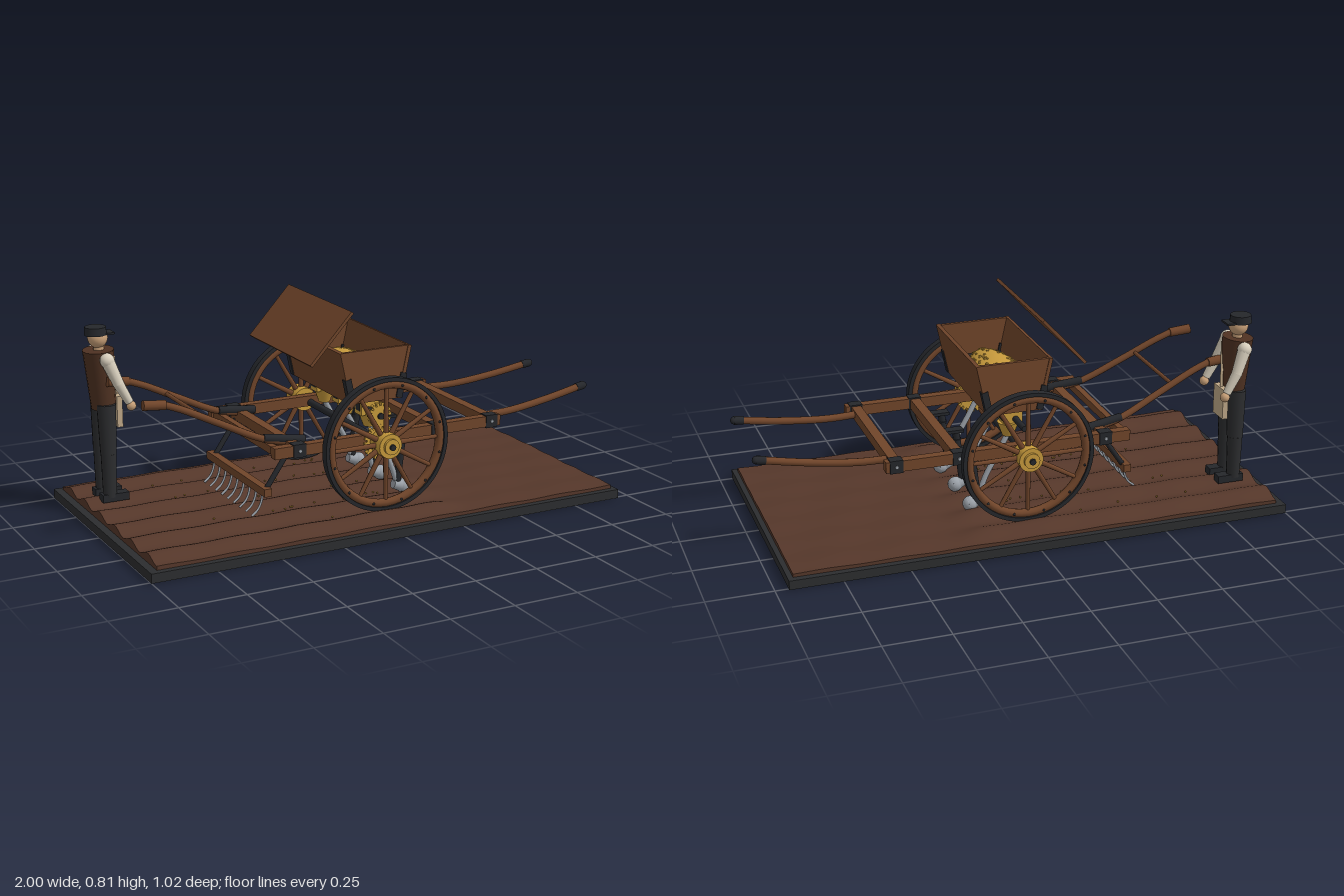
import * as THREE from 'three';

const mat = (name, color) => {
  const m = new THREE.MeshStandardMaterial({ color });
  m.name = name;
  return m;
};
const V = (x, y, z) => new THREE.Vector3(x, y, z);

export function createModel() {
  const wood = mat('wood', 0x70452a), soilMat = mat('soil', 0x55372a), base = mat('charcoal', 0x2c2d2f);
  const iron = mat('iron', 0x25272b), brass = mat('brass', 0xc79a3c), steel = mat('steel', 0x9ba1a8);
  const cream = mat('shirt cream', 0xd9d0be), skin = mat('skin', 0xc8a078), vest = mat('vest brown', 0x4f3222);
  const canvas = mat('canvas', 0xbfa888);
  const root = new THREE.Group();
  root.name = 'seedDrill';

  const group = (name, parent = root) => {
    const g = new THREE.Group();
    g.name = name;
    parent.add(g);
    return g;
  };
  const add = (name, geo, m, pos = [0, 0, 0], parent = root) => {
    const mesh = new THREE.Mesh(geo, m);
    mesh.name = name;
    mesh.position.set(...pos);
    parent.add(mesh);
    return mesh;
  };
  const box = (name, size, pos, m, parent) => add(name, new THREE.BoxGeometry(...size), m, pos, parent);
  // Round bar between two points
  const rod = (name, a, b, r0, r1, m, parent, sides = 12) => {
    const p = V(...a), q = V(...b), d = q.clone().sub(p);
    const mesh = add(name, new THREE.CylinderGeometry(r1, r0, d.length(), sides), m, p.clone().add(q).multiplyScalar(0.5).toArray(), parent);
    mesh.quaternion.setFromUnitVectors(V(0, 1, 0), d.normalize());
    return mesh;
  };
  const tube = (name, pts, r, m, parent, seg = 16) =>
    add(name, new THREE.TubeGeometry(new THREE.CatmullRomCurve3(pts.map(p => V(...p))), seg, r, 10), m, [0, 0, 0], parent);
  const discZ = (name, r, h, pos, m, parent, sides = 24) => {
    const d = add(name, new THREE.CylinderGeometry(r, r, h, sides), m, pos, parent);
    d.rotation.x = Math.PI / 2;
    return d;
  };
  let seed = 7;
  const rand = () => (seed = (seed * 16807) % 2147483647) / 2147483647;

  // Base slab and ploughed soil with ridges that fade out ahead of the drill
  box('base', [1.95, 0.035, 1.02], [-0.025, 0.0175, 0], base);
  const soilGeo = new THREE.BoxGeometry(1.9, 0.02, 0.97, 70, 1, 72);
  const sp = soilGeo.attributes.position;
  for (let i = 0; i < sp.count; i++) {
    if (sp.getY(i) < 0) continue;
    const x = sp.getX(i) - 0.02, z = sp.getZ(i);
    const ridge = 0.5 - 0.5 * Math.cos(z * 2 * Math.PI / 0.16);
    const fade = 1 - 0.85 * THREE.MathUtils.smoothstep(x, 0.15, 0.32);
    sp.setY(i, 0.014 + 0.022 * ridge * fade + 0.0015 * Math.sin(x * 23 + z * 9));
  }
  soilGeo.computeVertexNormals();
  add('soil', soilGeo, soilMat, [-0.02, 0.035, 0]);

  // Spoked wheels
  for (const s of [1, -1]) {
    const w = group('wheel');
    w.position.set(0, 0.315, s * 0.355);
    const ring = (name, ro, ri, depth, m) => {
      const sh = new THREE.Shape().absarc(0, 0, ro, 0, Math.PI * 2);
      sh.holes.push(new THREE.Path().absarc(0, 0, ri, 0, Math.PI * 2, true));
      add(name, new THREE.ExtrudeGeometry(sh, { depth, bevelEnabled: false, curveSegments: 48 }), m, [0, 0, -depth / 2], w);
    };
    ring('tyre', 0.256, 0.241, 0.032, iron);
    add('felloe', new THREE.TorusGeometry(0.228, 0.016, 10, 48), wood, [0, 0, 0], w);
    for (let i = 0; i < 12; i++) {
      const a = (i / 12) * Math.PI * 2, c = Math.cos(a), n = Math.sin(a);
      rod('spoke', [c * 0.035, n * 0.035, 0], [c * 0.222, n * 0.222, 0], 0.011, 0.008, wood, w, 8);
      const b = a + Math.PI / 12;
      add('rivet', new THREE.SphereGeometry(0.005, 8, 6), iron, [Math.cos(b) * 0.228, Math.sin(b) * 0.228, s * 0.016], w);
    }
    discZ('hub', 0.047, 0.075, [0, 0, 0], brass, w);
    discZ('hubCap', 0.03, 0.014, [0, 0, s * 0.042], brass, w);
    discZ('axleNut', 0.012, 0.012, [0, 0, s * 0.052], iron, w, 8);
  }
  discZ('axle', 0.014, 0.74, [0, 0.315, 0], iron);

  // Drive gears and metering shaft
  discZ('meteringShaft', 0.012, 0.64, [0, 0.411, 0], iron);
  const gear = (y, r, n, z) => {
    const g = group('gear');
    g.position.set(0, y, z);
    discZ('gearDisc', r, 0.018, [0, 0, 0], brass, g);
    for (let i = 0; i < n; i++) {
      const a = (i / n) * Math.PI * 2;
      box('tooth', [0.014, 0.01, 0.018], [Math.cos(a) * (r + 0.004), Math.sin(a) * (r + 0.004), 0], brass, g).rotation.z = a;
    }
  };
  gear(0.311, 0.056, 20, 0.302);
  gear(0.415, 0.036, 14, 0.302);

  // Frame: side beams, cross beams and iron corner plates
  const frame = group('frame');
  for (const s of [1, -1]) {
    box('sideBeam', [0.96, 0.042, 0.036], [0.05, 0.322, s * 0.286], wood, frame);
    for (const x of [-0.33, 0.25, 0.49]) {
      box('cornerPlate', [0.05, 0.05, 0.042], [x, 0.322, s * 0.286], iron, frame);
      discZ('bolt', 0.007, 0.052, [x, 0.322, s * 0.286], steel, frame, 8);
    }
  }
  for (const x of [-0.33, 0.25, 0.49]) box('crossBeam', [0.038, 0.04, 0.56], [x, 0.322, 0], wood, frame);
  box('rearCrossBeam', [0.025, 0.03, 0.56], [-0.41, 0.322, 0], wood, frame);

  // Front shafts and rear handles
  for (const s of [1, -1]) {
    tube('shaft', [[0.48, 0.325, s * 0.229], [0.62, 0.325, s * 0.22], [0.8, 0.345, s * 0.208], [0.97, 0.374, s * 0.198]], 0.0145, wood);
    rod('shaftTip', [0.95, 0.371, s * 0.199], [0.985, 0.376, s * 0.197], 0.0165, 0.0165, iron);
    add('shaftTipEnd', new THREE.SphereGeometry(0.015, 10, 8), iron, [0.985, 0.376, s * 0.197]);
    tube('handle', [[-0.3, 0.33, s * 0.218], [-0.42, 0.352, s * 0.208], [-0.6, 0.435, s * 0.192], [-0.74, 0.503, s * 0.183], [-0.81, 0.53, s * 0.18]], 0.0135, wood);
    rod('grip', [-0.8, 0.527, s * 0.181], [-0.885, 0.535, s * 0.177], 0.018, 0.019, wood);
    rod('handleStrap', [-0.27, 0.335, s * 0.222], [-0.43, 0.358, s * 0.206], 0.017, 0.016, iron);
  }
  rod('handleRung', [-0.65, 0.458, -0.19], [-0.65, 0.458, 0.19], 0.008, 0.008, wood);

  // Rake hung behind the frame
  const rake = group('rake');
  box('rakeBar', [0.03, 0.03, 0.53], [-0.44, 0.165, 0], wood, rake);
  for (const s of [1, -1]) rod('rakeArm', [-0.43, 0.175, s * 0.232], [-0.33, 0.32, s * 0.232], 0.01, 0.01, iron, rake);
  for (let i = -4; i <= 4; i++) {
    const z = i * 0.055;
    tube('tine', [[-0.442, 0.155, z], [-0.448, 0.12, z], [-0.463, 0.09, z], [-0.487, 0.07, z]], 0.0045, steel, rake, 8);
  }

  // Hopper with sloping sides
  const hopper = group('hopper');
  const end = new THREE.Shape([[-0.085, 0.45], [0.115, 0.45], [0.158, 0.65], [-0.13, 0.65]].map(p => new THREE.Vector2(...p)));
  for (const s of [1, -1]) {
    add('hopperEnd', new THREE.ExtrudeGeometry(end, { depth: 0.014, bevelEnabled: false }), wood, [0, 0, s * 0.24 - 0.007], hopper);
    const wall = box('hopperSide', [0.014, 0.205, 0.5], [0.015 + s * 0.121, 0.55, 0], wood, hopper);
    wall.rotation.z = -s * 0.215;
    for (const t of [1, -1]) {
      const strap = box('cornerStrap', [0.026, 0.095, 0.026], [0.015 + s * 0.108, 0.5, t * 0.239], iron, hopper);
      strap.rotation.z = -s * 0.215;
    }
  }
  box('hopperFloor', [0.2, 0.012, 0.48], [0.015, 0.458, 0], wood, hopper);
  box('hopperLining', [0.225, 0.008, 0.465], [0.015, 0.515, 0], iron, hopper);

  // Raised lid
  const lid = group('lid');
  lid.position.set(-0.176, 0.712, 0);
  lid.rotation.z = 0.825;
  box('lidBoard', [0.25, 0.012, 0.525], [0, 0, 0], wood, lid);

  // Grain heap, wider to the rear, with loose grains on it
  const heap = new THREE.SphereGeometry(1, 32, 24);
  const hp = heap.attributes.position;
  const place = (x, y, z) => [0.01 + x * 0.1 * (1 - 0.32 * z), 0.515 + y * 0.075, 0.005 + z * 0.195];
  for (let i = 0; i < hp.count; i++) hp.setXYZ(i, ...place(hp.getX(i), hp.getY(i), hp.getZ(i)));
  heap.computeVertexNormals();
  add('grainHeap', heap, brass, [0, 0, 0], hopper);
  const grainGeo = new THREE.IcosahedronGeometry(0.006, 0);
  for (let i = 0; i < 150; i++) {
    const y = rand() * 0.95, a = rand() * Math.PI * 2, r = Math.sqrt(1 - y * y);
    add('grain', grainGeo, brass, place(Math.cos(a) * r, y, Math.sin(a) * r), hopper).scale.set(1, 0.7, 1.3);
  }
  for (let i = 0; i < 36; i++) {
    add('spiltGrain', grainGeo, brass, [-0.7 + rand() * 0.8, 0.056, Math.round(rand() * 4 - 2) * 0.16 + (rand() - 0.5) * 0.03]).scale.setScalar(0.7);
  }

  // Seed cups, drop tubes and coulters
  for (const z of [-0.186, 0, 0.186]) {
    const c = group('seedRow');
    box('seedCup', [0.075, 0.062, 0.056], [0.01, 0.42, z], brass, c);
    box('cupWindow', [0.079, 0.03, 0.034], [0.01, 0.42, z], iron, c);
    add('funnel', new THREE.CylinderGeometry(0.042, 0.022, 0.055, 16), brass, [0.02, 0.367, z], c);
    tube('dropTube', [[0.02, 0.345, z], [0.06, 0.27, z], [0.11, 0.18, z], [0.14, 0.1, z]], 0.011, steel, c);
    rod('coulterShank', [0.168, 0.305, z], [0.143, 0.1, z], 0.0145, 0.0145, iron, c);
    rod('shankBand', [0.165, 0.268, z], [0.1645, 0.262, z], 0.019, 0.019, iron, c);
    box('shankPlate', [0.11, 0.012, 0.04], [0.195, 0.303, z], iron, c);
    rod('coulterShoe', [0.125, 0.09, z], [0.18, 0.074, z], 0.018, 0.028, steel, c, 16);
    add('coulterNose', new THREE.SphereGeometry(0.029, 16, 12), steel, [0.172, 0.076, z], c);
  }

  // Farmer walking behind
  const man = group('farmer');
  man.position.set(-0.88, 0, -0.245);
  for (const s of [1, -1]) {
    const z = s * 0.04;
    box('boot', [0.105, 0.03, 0.042], [0.018, 0.078, z], iron, man);
    rod('lowerLeg', [0, 0.08, z], [0, 0.25, z], 0.026, 0.03, base, man);
    rod('upperLeg', [0, 0.25, z], [0, 0.44, z * 0.85], 0.031, 0.037, base, man);
    add('shoulder', new THREE.SphereGeometry(0.028, 12, 10), cream, [-0.005, 0.618, s * 0.075], man);
    rod('upperArm', [-0.005, 0.62, s * 0.075], [0.03, 0.53, s * 0.09], 0.026, 0.021, cream, man);
    add('elbow', new THREE.SphereGeometry(0.021, 12, 10), cream, [0.03, 0.53, s * 0.09], man);
    rod('forearm', [0.03, 0.53, s * 0.09], [0.07, 0.455, s * 0.093], 0.021, 0.016, cream, man);
    add('hand', new THREE.SphereGeometry(0.019, 12, 10), skin, [0.077, 0.44, s * 0.093], man);
  }
  const torso = rod('vest', [0.002, 0.42, 0], [-0.012, 0.645, 0], 0.046, 0.058, vest, man, 16);
  torso.scale.z = 1.15;
  rod('neck', [-0.01, 0.64, 0], [-0.008, 0.67, 0], 0.02, 0.02, skin, man);
  add('head', new THREE.SphereGeometry(0.038, 18, 14), skin, [-0.012, 0.69, 0], man);
  add('cap', new THREE.CylinderGeometry(0.04, 0.043, 0.03, 18), iron, [-0.02, 0.718, 0], man);
  box('capBrim', [0.045, 0.007, 0.056], [0.024, 0.706, 0], iron, man);
  box('satchel', [0.022, 0.12, 0.085], [0.06, 0.398, -0.025], canvas, man);
  rod('satchelStrap', [0.06, 0.455, -0.025], [0.035, 0.62, 0.035], 0.006, 0.006, canvas, man, 8);
  return root;
}
